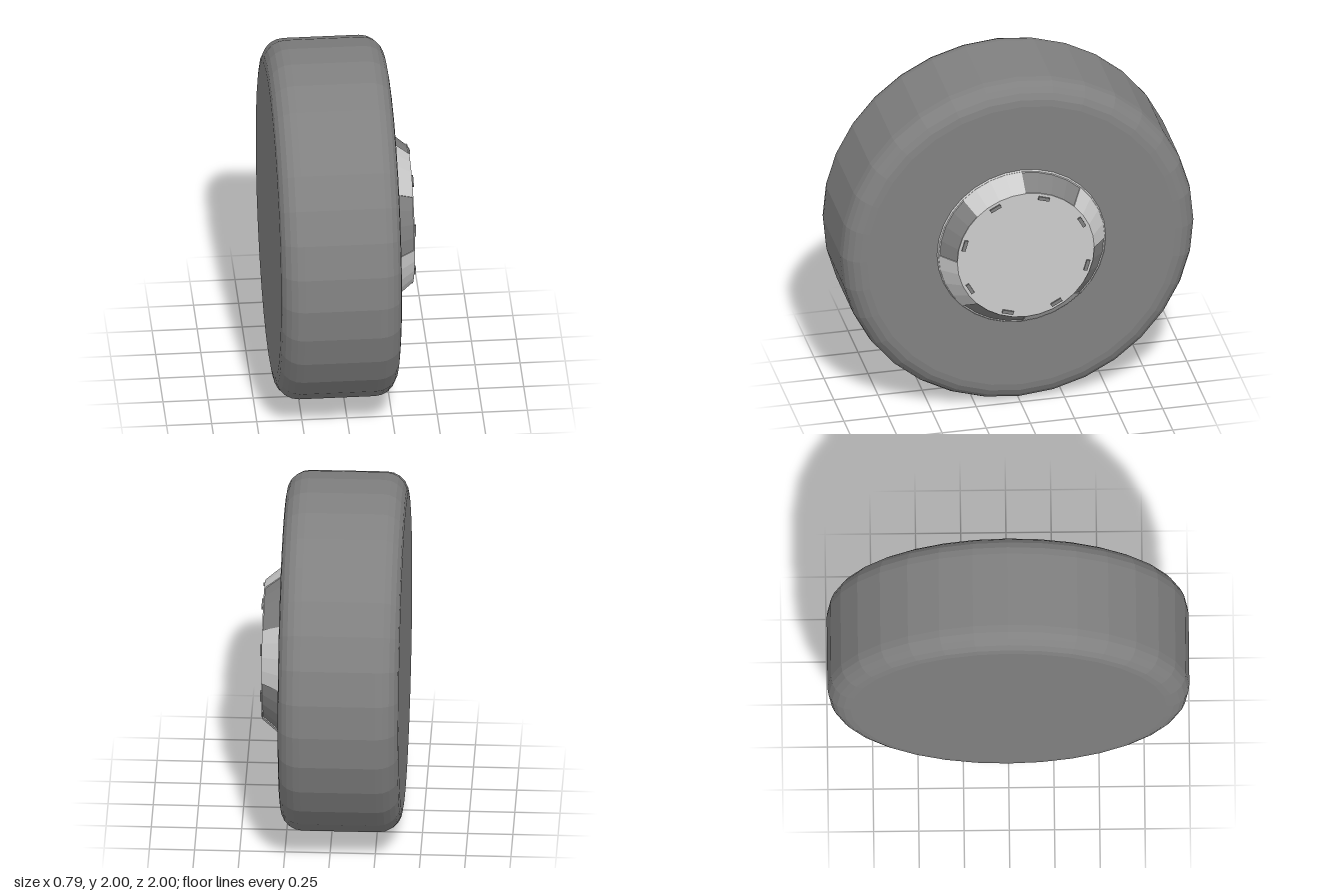
import * as THREE from 'three';

const SIDES = 32;

// Revolves [radius, x] points around the x axle; angles in radians
function revolve(points, segments = SIDES, start = 0, sweep = Math.PI * 2) {
  const profile = points.map(([r, x]) => new THREE.Vector2(r, x));
  return new THREE.LatheGeometry(profile, segments, start, sweep).rotateZ(-Math.PI / 2);
}

export function createModel() {
  const wheel = new THREE.Group();
  wheel.name = 'wheel';
  const rubber = new THREE.MeshStandardMaterial({ color: 0x808080, flatShading: true });
  const metal = new THREE.MeshStandardMaterial({ color: 0xcccccc, flatShading: true });
  const metalSheet = new THREE.MeshStandardMaterial({ color: 0xcccccc, flatShading: true, side: THREE.DoubleSide });

  const add = (name, geometry, material) => {
    const mesh = new THREE.Mesh(geometry, material);
    mesh.name = name;
    mesh.position.y = 1;
    wheel.add(mesh);
    return mesh;
  };

  // Tyre: solid disc with rounded shoulders on both sides
  const back = -0.395, front = 0.275, fillet = 0.125, steps = 5;
  const tyre = [[0, back]];
  for (const [centre, from] of [[back + fillet, -Math.PI / 2], [front - fillet, 0]]) {
    for (let i = 0; i <= steps; i++) {
      const a = from + (i / steps) * Math.PI / 2;
      tyre.push([1 - fillet + fillet * Math.cos(a), centre + fillet * Math.sin(a)]);
    }
  }
  tyre.push([0, front]);
  add('tyre', revolve(tyre), rubber);

  // Hub: dark recessed cone, light base lip and flat cap
  add('hubRecess', revolve([[0.465, front], [0.465, 0.284], [0.382, 0.384]]), rubber);
  add('hubLip', revolve([[0.478, front], [0.472, 0.284], [0.46, 0.284]]), metal);
  add('hubCap', revolve([[0.388, 0.38], [0.388, 0.386], [0, 0.386]]), metal);

  // Four raised light panels alternate with the recesses
  const section = [[0.455, front], [0.478, front], [0.388, 0.386], [0.375, 0.386]];
  for (let k = 0; k < 4; k++) {
    const start = k * Math.PI / 2;
    add('hubPanel', revolve(section, 4, start, Math.PI / 4), metal);
    for (const angle of [start, start + Math.PI / 4]) {
      const shape = new THREE.Shape(section.map(([r, x]) => new THREE.Vector2(r, x)));
      const end = new THREE.ShapeGeometry(shape).rotateY(angle - Math.PI / 2).rotateZ(-Math.PI / 2);
      add('hubPanelEnd', end, metalSheet);
    }
  }

  // Eight small raised tabs around the cap
  for (let k = 0; k < 8; k++) {
    const a = THREE.MathUtils.degToRad(28.5 + k * 45);
    const tab = add('capTab', new THREE.BoxGeometry(0.02, 0.02, 0.065), rubber);
    tab.position.set(0.385, 1 + 0.36 * Math.sin(a), -0.36 * Math.cos(a));
    tab.rotation.x = a - Math.PI / 2;
  }
  return wheel;
}
